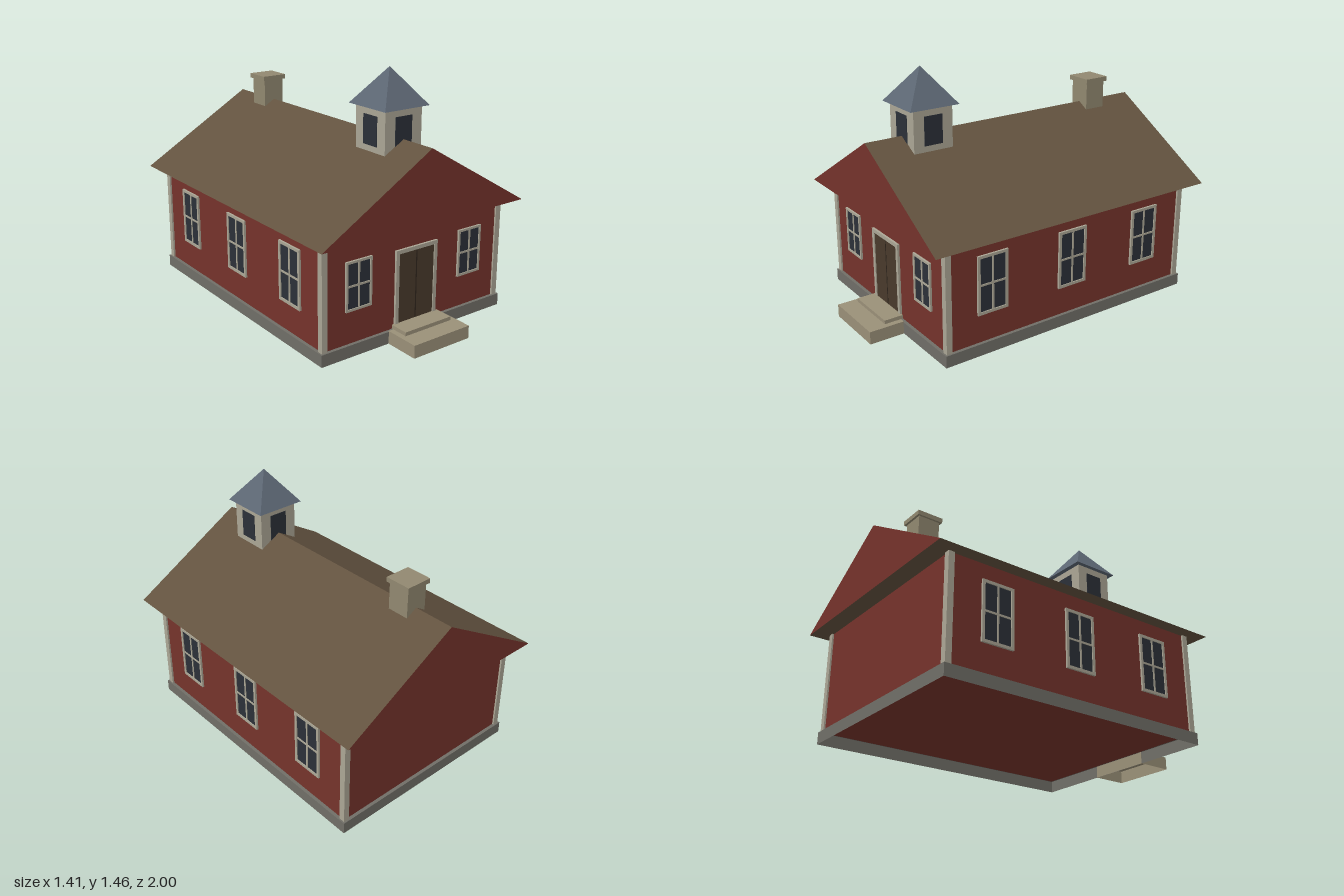
import * as THREE from 'three';

const material = (color) => new THREE.MeshStandardMaterial({ color, flatShading: true });
const red = material(0x75332b);
const roofBrown = material(0x62523f);
const trimGrey = material(0xaba695);
const stone = material(0x706e67);
const stepStone = material(0x9a9078);
const chimneyStone = material(0x918870);
const glass = material(0x2b3038);
const doorBrown = material(0x493a2c);
const seamBrown = material(0x30261d);
const slate = material(0x5c6673);

const Z0 = -0.0625; // middle of the house along its length
const WALL = { x: 0.625, front: 0.77, length: 1.665 };

function box(parent, name, mat, [w, h, d], [x, y, z]) {
  const mesh = new THREE.Mesh(new THREE.BoxGeometry(w, h, d), mat);
  mesh.name = name;
  mesh.position.set(x, y, z);
  parent.add(mesh);
  return mesh;
}

// Box standing on y = base, hollow and open underneath
function openBox(parent, name, mat, [w, h, d], [x, base, z]) {
  const shell = mat.clone();
  shell.side = THREE.DoubleSide;
  const mesh = box(parent, name, shell, [w, h, d], [x, base + h / 2, z]);
  const index = Array.from(mesh.geometry.index.array);
  index.splice(18, 6);
  mesh.geometry.setIndex(index);
  mesh.geometry.clearGroups();
  return mesh;
}

// Four-pane window facing +z, its back on z = 0
function makeWindow(w, h, bar) {
  const g = new THREE.Group();
  g.name = 'window';
  box(g, 'windowGlass', glass, [w - bar, h - bar, 0.006], [0, 0, 0.003]);
  for (const s of [-1, 1]) {
    box(g, 'windowFrameSide', trimGrey, [bar, h, 0.012], [s * (w - bar) / 2, 0, 0.006]);
    box(g, 'windowFrameRail', trimGrey, [w - 2 * bar, bar, 0.012], [0, s * (h - bar) / 2, 0.006]);
  }
  box(g, 'windowMullion', trimGrey, [0.011, h - 2 * bar, 0.01], [0, 0, 0.005]);
  box(g, 'windowCrossbar', trimGrey, [w - 2 * bar, 0.011, 0.01], [0, 0, 0.005]);
  return g;
}

function makeDoor() {
  const g = new THREE.Group();
  g.name = 'door';
  g.position.z = WALL.front;
  for (const s of [-1, 1]) {
    box(g, 'doorLeaf', doorBrown, [0.122, 0.43, 0.008], [s * 0.064, 0.285, 0.004]);
    box(g, 'doorJamb', trimGrey, [0.022, 0.453, 0.014], [s * 0.136, 0.2965, 0.007]);
  }
  box(g, 'doorSeam', seamBrown, [0.008, 0.43, 0.009], [0, 0.285, 0.0045]);
  box(g, 'doorLintel', trimGrey, [0.25, 0.022, 0.014], [0, 0.512, 0.007]);
  return g;
}

function makeRoof() {
  const gable = new THREE.Shape();
  gable.moveTo(-0.705, 0.67).lineTo(0.705, 0.67).lineTo(0, 1.085).closePath();
  const geometry = new THREE.ExtrudeGeometry(gable, { depth: 1.875, bevelEnabled: false });
  const roof = new THREE.Mesh(geometry, [red, roofBrown]); // gable ends, slopes
  roof.name = 'gableRoof';
  roof.position.z = -1;
  return roof;
}

function makeBelfry() {
  const g = new THREE.Group();
  g.name = 'belfry';
  g.position.z = 0.522;
  box(g, 'belfryTower', trimGrey, [0.254, 0.255, 0.246], [0, 1.1275, 0]);
  for (let i = 0; i < 4; i++) {
    const side = new THREE.Group();
    side.name = 'belfrySide';
    side.rotation.y = i * Math.PI / 2;
    box(side, 'belfryOpening', glass, [0.115, 0.167, 0.006], [0, 1.1285, i % 2 ? 0.127 : 0.123]);
    g.add(side);
  }
  const cone = new THREE.ConeGeometry(0.154 * Math.SQRT2, 0.205, 4);
  cone.rotateY(Math.PI / 4);
  const cap = new THREE.Mesh(cone, slate);
  cap.name = 'belfryRoof';
  cap.position.y = 1.3575;
  g.add(cap);
  return g;
}

export function createModel() {
  const model = new THREE.Group();
  model.name = 'schoolhouse';

  // Base and walls
  openBox(model, 'foundation', stone, [1.29, 0.07, 1.705], [0, 0, Z0]);
  box(model, 'walls', red, [WALL.x * 2, 0.61, WALL.length], [0, 0.37, Z0]);
  for (const sx of [-1, 1]) {
    for (const sz of [-1, 1]) {
      box(model, 'cornerPost', trimGrey, [0.036, 0.6, 0.036], [sx * 0.618, 0.37, Z0 + sz * 0.825]);
    }
  }

  // Front and side windows
  for (const s of [-1, 1]) {
    const front = makeWindow(0.172, 0.28, 0.013);
    front.position.set(s * 0.396, 0.398, WALL.front);
    model.add(front);
    for (const z of [0.483, -0.06, -0.601]) {
      const side = makeWindow(0.195, 0.343, 0.016);
      side.position.set(s * WALL.x, 0.408, z);
      side.rotation.y = s * Math.PI / 2;
      model.add(side);
    }
  }

  // Entrance
  model.add(makeDoor());
  openBox(model, 'lowerStep', stepStone, [0.394, 0.075, 0.212], [0, 0, 0.894]);
  openBox(model, 'upperStep', stepStone, [0.328, 0.022, 0.115], [0, 0.075, 0.8325]);

  // Roof, belfry and chimney
  model.add(makeRoof(), makeBelfry());
  box(model, 'chimneyStack', chimneyStone, [0.134, 0.22, 0.134], [0, 1.105, -0.684]);
  box(model, 'chimneyCap', chimneyStone, [0.16, 0.028, 0.16], [0, 1.224, -0.684]);

  return model;
}
